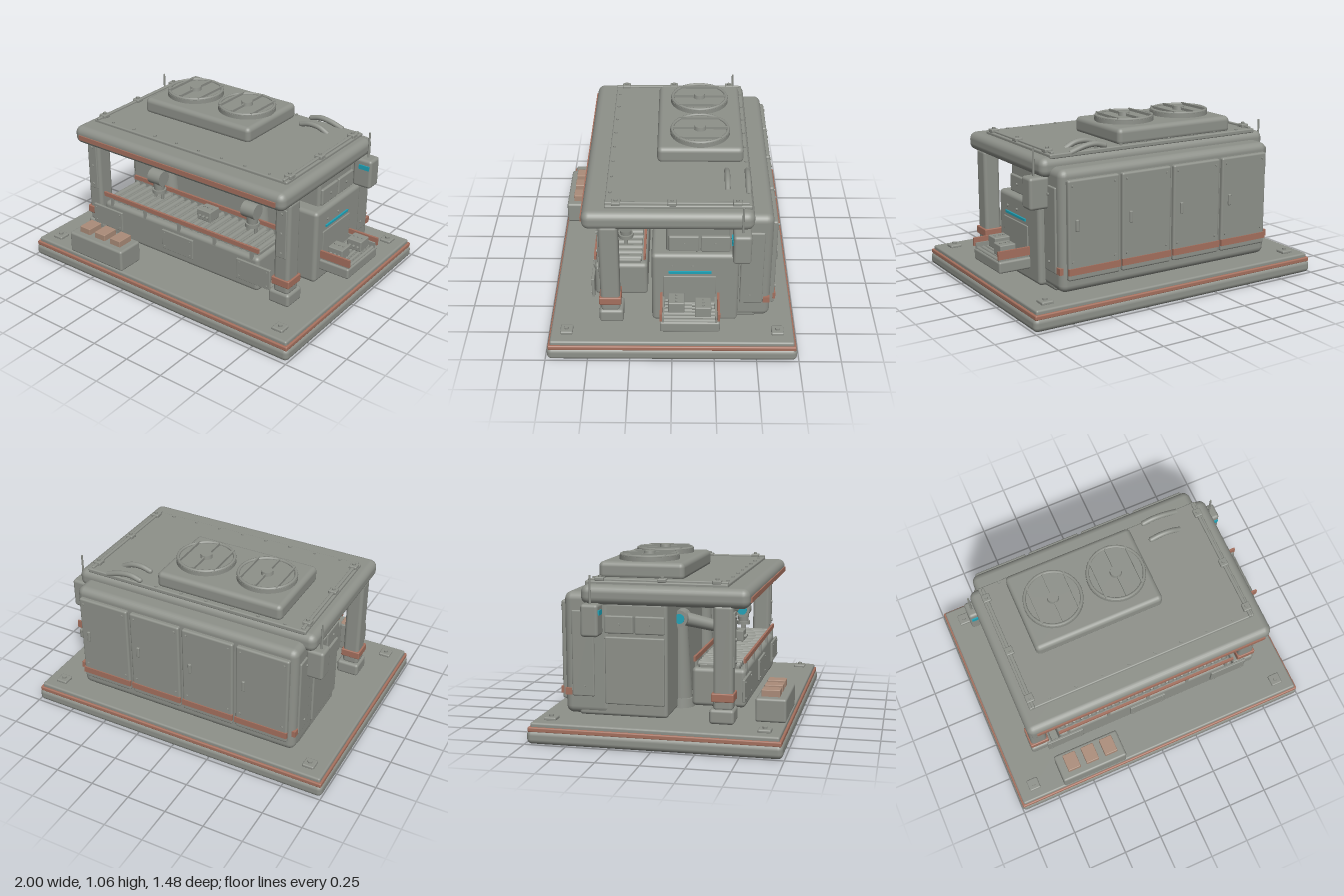
import * as THREE from 'three';
import { RoundedBoxGeometry } from 'three/addons/geometries/RoundedBoxGeometry.js';

export function createModel() {
  const model = new THREE.Group();
  model.name = 'assemblyStation';
  const make = (name, color) => Object.assign(new THREE.MeshStandardMaterial({ color }), { name });
  const grey = make('machine grey', 0x8e918a);
  const rust = make('rust trim', 0xa5705e);
  const cyan = make('cyan light', 0x1fa3b8);
  const tan = make('tan parts', 0xab8c79);

  function add(name, geometry, mat, x = 0, y = 0, z = 0) {
    const mesh = new THREE.Mesh(geometry, mat);
    mesh.name = name;
    mesh.position.set(x, y, z);
    model.add(mesh);
    return mesh;
  }
  // Box given by its extents, optionally with rounded edges
  function box(name, mat, x0, x1, y0, y1, z0, z1, r = 0) {
    const w = x1 - x0, h = y1 - y0, d = z1 - z0;
    const g = r ? new RoundedBoxGeometry(w, h, d, 3, Math.min(r, w / 2.01, h / 2.01, d / 2.01))
      : new THREE.BoxGeometry(w, h, d);
    return add(name, g, mat, (x0 + x1) / 2, (y0 + y1) / 2, (z0 + z1) / 2);
  }
  // Cylinder between two points
  function rod(name, mat, a, b, r0, r1 = r0, sides = 24) {
    const p = new THREE.Vector3(...a), q = new THREE.Vector3(...b);
    const mesh = add(name, new THREE.CylinderGeometry(r1, r0, p.distanceTo(q), sides), mat);
    mesh.position.copy(p).add(q).multiplyScalar(0.5);
    mesh.quaternion.setFromUnitVectors(new THREE.Vector3(0, 1, 0), q.sub(p).normalize());
    return mesh;
  }
  const bolt = (x, y, z, dx, dy, dz, r = 0.008, l = 0.008) =>
    rod('bolt', grey, [x, y, z], [x + dx * l, y + dy * l, z + dz * l], r, r, 10);

  // Base with rust band and corner pads
  box('baseSlab', grey, -1, 1, 0, 0.082, -0.74, 0.74, 0.03);
  box('baseBand', rust, -0.992, 0.992, 0.07, 0.1, -0.732, 0.732, 0.008);
  box('baseDeck', grey, -0.98, 0.98, 0.09, 0.125, -0.72, 0.72, 0.012);
  for (const x of [-0.875, 0.875]) for (const z of [-0.625, 0.625]) {
    box('cornerPad', grey, x - 0.037, x + 0.037, 0.12, 0.142, z - 0.037, z + 0.037, 0.008);
    bolt(x, 0.14, z, 0, 1, 0, 0.014, 0.014);
  }

  // Rear cabinet
  box('rearCabinet', grey, -0.745, 0.745, 0.13, 0.855, -0.585, -0.3, 0.045);
  box('cabinetBody', grey, -0.74, 0.74, 0.125, 0.8, -0.5, 0.035, 0.02);
  for (const cx of [-0.54, -0.18, 0.18, 0.54]) {
    box('rearDoor', grey, cx - 0.17, cx + 0.17, 0.21, 0.8, -0.61, -0.57, 0.012);
    box('rearDoorBand', rust, cx - 0.172, cx + 0.172, 0.245, 0.285, -0.617, -0.6);
    box('rearDoorHandle', grey, cx + 0.105, cx + 0.125, 0.5, 0.57, -0.622, -0.605, 0.006);
    for (const x of [-0.14, 0.14]) for (const y of [0.32, 0.765]) bolt(cx + x, y, -0.61, 0, 0, -1);
  }
  for (const s of [-1, 1]) {
    const side = (name, mat, a, b, ...rest) => box(name, mat, Math.min(s * a, s * b), Math.max(s * a, s * b), ...rest);
    side('cornerBand', rust, 0.73, 0.753, 0.245, 0.285, -0.58, -0.54);
    side('sidePanel', grey, 0.73, 0.755, 0.24, 0.75, -0.535, -0.4, 0.008);
    for (const y of [0.3, 0.7]) bolt(s * 0.755, y, -0.46, s, 0, 0);
    side('upperSidePanel', grey, 0.73, 0.755, 0.62, 0.725, -0.155, 0.02, 0.008);
    side('upperSidePanel', grey, 0.73, 0.755, 0.62, 0.725, -0.335, -0.165, 0.008);
    for (const z of [-0.07, -0.25]) bolt(s * 0.755, 0.675, z, s, 0, 0);
    if (s < 0) side('lowerSidePanel', grey, 0.73, 0.755, 0.2, 0.6, -0.335, 0.02, 0.008);

    // Signal boxes with antennas
    side('signalBox', grey, 0.74, s > 0 ? 0.867 : 0.85, 0.61, 0.8, -0.452, -0.347, 0.018);
    side('signalLight', cyan, 0.785, s > 0 ? 0.855 : 0.838, 0.737, 0.765, -0.347, -0.339);
    rod('antenna', grey, [s * 0.815, 0.79, -0.4], [s * 0.815, 0.965, -0.4], 0.007, 0.006, 10);

    // Front pillars
    side('pillarFoot', grey, 0.655, 0.8, 0.125, 0.212, 0.29, 0.435, 0.018);
    side('pillar', grey, 0.682, 0.788, 0.2, 0.81, 0.31, 0.425, 0.022);
    side('pillarBand', rust, 0.675, 0.798, 0.255, 0.305, 0.302, 0.433, 0.006);
    side('pillarPlate', grey, 0.7, 0.77, 0.45, 0.77, 0.42, 0.432, 0.005);
    for (const y of [0.48, 0.61, 0.74]) bolt(s * 0.735, y, 0.432, 0, 0, 1, 0.01);

    // Roof rails and clamps
    side('roofRail', grey, 0.7, 0.72, 0.915, 0.935, -0.44, 0.385, 0.006);
    for (const z of [-0.37, 0, 0.32]) {
      side('railClamp', grey, 0.685, 0.735, 0.92, 0.943, z - 0.026, z + 0.026, 0.006);
      bolt(s * 0.71, 0.943, z, 0, 1, 0, 0.011, 0.01);
    }
  }

  // Roof
  box('roof', grey, -0.8, 0.8, 0.79, 0.905, -0.47, 0.518, 0.045);
  box('roofStripe', rust, -0.75, 0.75, 0.825, 0.855, 0.505, 0.526);
  box('roofPlate', grey, -0.735, 0.735, 0.895, 0.923, -0.455, 0.385, 0.008);
  for (let i = 0; i < 8; i++) for (const z of [-0.44, 0.36]) bolt(-0.6 + i * 0.171, 0.923, z, 0, 1, 0, 0.009);

  // Roof fans
  box('fanHousing', grey, -0.565, 0.26, 0.91, 1.015, -0.425, 0.095, 0.03);
  for (const x of [-0.35, 0.06]) {
    const z = -0.165;
    rod('fanDrum', grey, [x, 1, z], [x, 1.04, z], 0.183, 0.183, 40);
    const rim = add('fanRim', new THREE.TorusGeometry(0.172, 0.01, 8, 40), grey, x, 1.042, z);
    rim.rotation.x = Math.PI / 2;
    for (const dx of [-0.12, 0, 0.12]) {
      const l = dx ? 0.13 : 0.165;
      box('fanBar', grey, x + dx - 0.006, x + dx + 0.006, 1.038, 1.056, z - l, z + l);
    }
    rod('fanHub', grey, [x, 1.035, z], [x, 1.064, z], 0.038, 0.034);
  }

  // Curved roof pipes
  for (const [z, end] of [[-0.44, 0.6], [-0.32, 0.565]]) {
    const path = new THREE.CatmullRomCurve3([[0.37, 0.935], [0.43, 0.95], [0.5, 0.945], [end, 0.915]]
      .map(([x, y]) => new THREE.Vector3(x, y, z)));
    add('roofPipe', new THREE.TubeGeometry(path, 20, 0.017, 12), grey);
    add('pipeCap', new THREE.SphereGeometry(0.017, 12, 8), grey, 0.37, 0.935, z);
  }

  // Side cabinet with light strip and hatch
  box('sideCabinet', grey, 0.485, 0.783, 0.13, 0.615, -0.39, 0.12, 0.025);
  box('sideLight', cyan, 0.78, 0.792, 0.488, 0.502, -0.23, 0.022);
  box('sideHatch', grey, 0.775, 0.79, 0.275, 0.465, -0.257, 0.05, 0.004);
  for (const z of [-0.12, 0]) bolt(0.783, 0.535, z, 1, 0, 0);

  // Small component block with pins on its face
  function component(x, y, z, dx, dz) {
    box('componentBlock', grey, x - 0.05, x + 0.05, y, y + 0.07, z - 0.047, z + 0.047, 0.006);
    for (const k of [-0.028, 0, 0.028]) {
      bolt(x + k, y + 0.03, z + 0.047, 0, 0, 1, 0.009, 0.016);
      bolt(x + k, y + 0.07, z, 0, 1, 0, 0.007, 0.006);
    }
  }
  // Output tray
  box('outputTray', grey, 0.775, 0.985, 0.21, 0.28, -0.278, 0.07, 0.012);
  for (const z of [-0.278, 0.056]) box('trayRail', rust, 0.785, 0.99, 0.295, 0.345, z, z + 0.014);
  for (const z of [-0.262, 0.046]) box('trayEdge', grey, 0.785, 0.98, 0.27, 0.315, z, z + 0.012);
  for (let i = 0; i < 6; i++) rod('trayRoller', grey, [0.81 + i * 0.031, 0.28, -0.25], [0.81 + i * 0.031, 0.28, 0.045], 0.012, 0.012, 12);
  component(0.9, 0.292, -0.18);
  component(0.86, 0.292, -0.025);

  // Conveyor
  box('conveyorBody', grey, -0.61, 0.605, 0.18, 0.41, 0.15, 0.47, 0.025);
  box('conveyorBed', grey, -0.59, 0.585, 0.4, 0.432, 0.19, 0.43, 0.008);
  for (let i = 0; i < 22; i++) {
    const x = -0.57 + i * 0.0538;
    rod('conveyorRoller', grey, [x, 0.428, 0.185], [x, 0.428, 0.435], 0.019, 0.019, 14);
  }
  for (const z of [0.16, 0.456]) {
    box('conveyorRail', rust, -0.61, 0.605, 0.447, 0.475, z, z + 0.014);
    for (let i = 0; i < 5; i++) box('railPost', grey, -0.555 + i * 0.275, -0.535 + i * 0.275, 0.39, 0.45, z, z + 0.014);
  }
  for (const x of [-0.575, 0, 0.575]) {
    box('accessPanel', grey, x - 0.122, x + 0.122, 0.237, 0.37, 0.465, 0.482, 0.004);
    for (const dx of [-0.1, 0.1]) for (const y of [0.257, 0.35]) bolt(x + dx, y, 0.482, 0, 0, 1, 0.006, 0.005);
  }
  component(0.107, 0.447, 0.3);

  // Robot arms
  for (const x of [-0.445, 0.285]) {
    const shoulder = [x, 0.675, 0.05], elbow = [x + 0.135, 0.6, 0.285];
    rod('robotPedestal', grey, [x + 0.05, 0.125, 0.04], [x + 0.05, 0.18, 0.04], 0.085, 0.08);
    rod('robotColumn', grey, [x + 0.05, 0.17, 0.04], [x + 0.02, 0.66, 0.04], 0.068, 0.045);
    rod('shoulderJoint', grey, [x - 0.045, 0.675, 0.05], [x + 0.06, 0.675, 0.05], 0.05);
    rod('shoulderLight', cyan, [x - 0.05, 0.675, 0.05], [x - 0.045, 0.675, 0.05], 0.03);
    rod('forearm', grey, shoulder, elbow, 0.043, 0.034);
    rod('elbowJoint', grey, [x + 0.09, 0.6, 0.285], [x + 0.185, 0.6, 0.285], 0.05);
    rod('elbowLight', cyan, [x + 0.084, 0.6, 0.285], [x + 0.09, 0.6, 0.285], 0.032);
    rod('wrist', grey, [x + 0.145, 0.59, 0.285], [x + 0.145, 0.515, 0.285], 0.04, 0.034);
    rod('gripperMount', grey, [x + 0.145, 0.52, 0.285], [x + 0.145, 0.497, 0.285], 0.045);
    for (const d of [-0.028, 0.028])
      box('gripperFinger', grey, x + 0.138 + d, x + 0.152 + d, 0.455, 0.5, 0.273, 0.297, 0.004);
  }

  // Front supply bin
  box('supplyBin', grey, -0.692, -0.255, 0.125, 0.265, 0.54, 0.72, 0.014);
  for (const x of [-0.598, -0.472, -0.344])
    box('supplyPart', tan, x - 0.042, x + 0.042, 0.25, 0.305, 0.568, 0.676, 0.004);

  return model;
}
